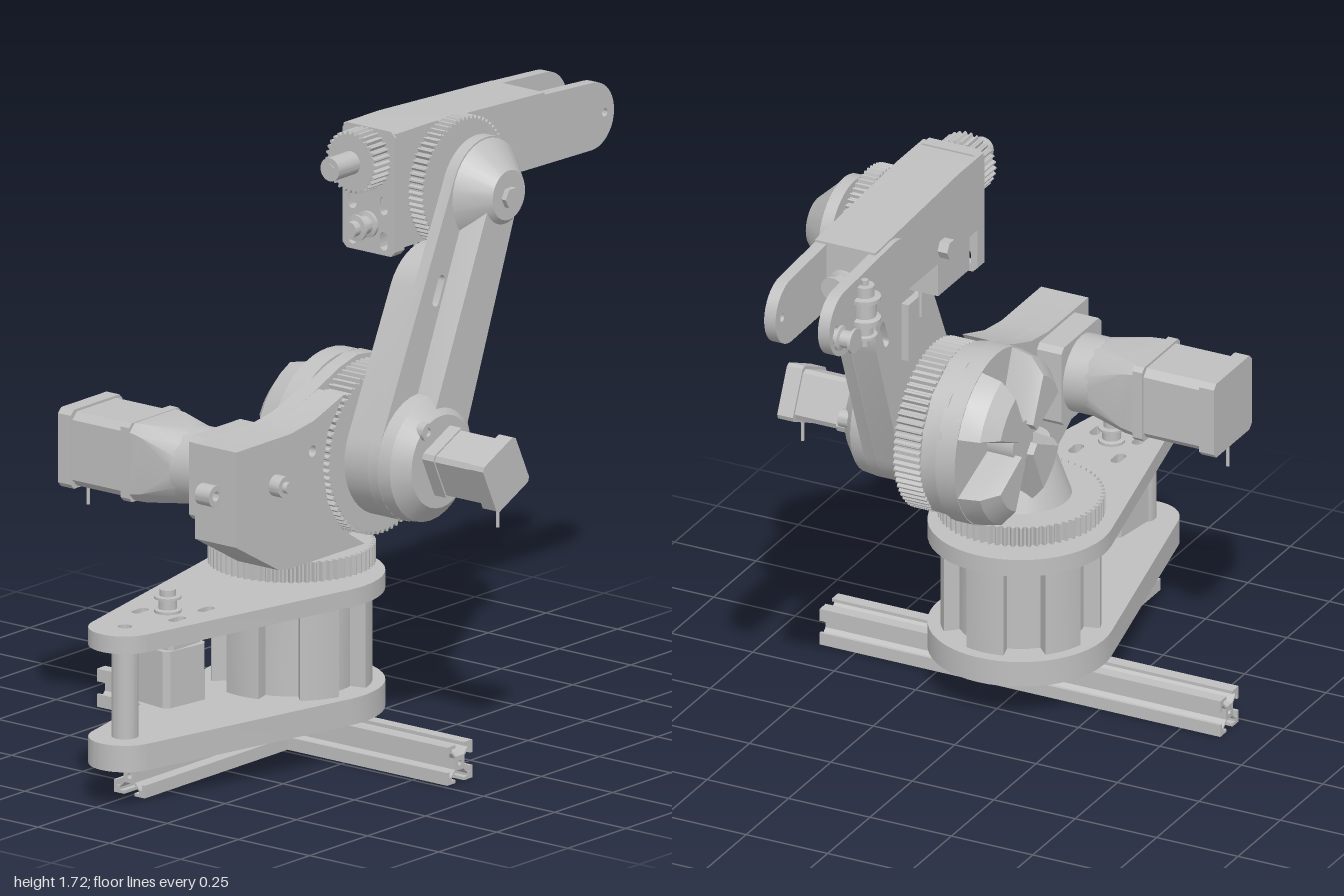
import * as THREE from 'three';
import { toCreasedNormals } from 'three/addons/utils/BufferGeometryUtils.js';
import { ConvexGeometry } from 'three/addons/geometries/ConvexGeometry.js';

export function createModel() {
  const root = new THREE.Group();
  const grey = new THREE.MeshStandardMaterial({ color: 0xbfbfbf });
  grey.name = 'light grey';
  const V2 = (x, y) => new THREE.Vector2(x, y);

  function add(name, geo) {
    const mesh = new THREE.Mesh(toCreasedNormals(geo, 0.5), grey);
    mesh.name = name;
    root.add(mesh);
    return mesh;
  }
  function box(name, x0, x1, y0, y1, z0, z1) {
    const g = new THREE.BoxGeometry(x1 - x0, y1 - y0, z1 - z0);
    return add(name, g.translate((x0 + x1) / 2, (y0 + y1) / 2, (z0 + z1) / 2));
  }
  // Turns a y-axis geometry onto the given axis, then places it
  function orient(g, axis, x, y, z) {
    if (axis === 'x') g.rotateZ(-Math.PI / 2);
    if (axis === 'z') g.rotateX(Math.PI / 2);
    return g.translate(x, y, z);
  }
  function rod(name, axis, r, len, x, y, z, r2 = r, seg = 32) {
    return add(name, orient(new THREE.CylinderGeometry(r2, r, len, seg), axis, x, y, z));
  }
  // Flanged belt pulley with a bore hub
  function pulley(name, axis, r, len, x, y, z) {
    const p = [[0, 0], [1, 0], [1, .12], [.7, .16], [.7, .55], [1, .6], [1, .7], [.6, .72], [.6, 1], [0, 1]];
    const g = new THREE.LatheGeometry(p.map(([a, b]) => V2(a * r, (b - .5) * len)), 24);
    return add(name, orient(g, axis, x, y, z));
  }
  // Outline around two circles
  function hull(c1, r1, c2, r2, n = 20) {
    const dx = c2[0] - c1[0], dy = c2[1] - c1[1];
    const phi = Math.atan2(dy, dx), al = Math.acos((r1 - r2) / Math.hypot(dx, dy));
    const pts = [];
    const arc = (c, r, a, b) => {
      for (let i = 0; i <= n; i++) {
        const t = a + (b - a) * i / n;
        pts.push(V2(c[0] + r * Math.cos(t), c[1] + r * Math.sin(t)));
      }
    };
    arc(c1, r1, phi + al, phi + 2 * Math.PI - al);
    arc(c2, r2, phi - al, phi + al);
    return pts;
  }
  const ring = (c, r, n = 32) => Array.from({ length: n }, (_, i) =>
    V2(c[0] + r * Math.cos(i / n * 2 * Math.PI), c[1] + r * Math.sin(i / n * 2 * Math.PI)));
  const toothed = (c, r, n, d) => Array.from({ length: n * 4 }, (_, i) => {
    const t = i / (n * 4) * 2 * Math.PI, q = i % 4 < 2 ? r : r - d;
    return V2(c[0] + q * Math.cos(t), c[1] + q * Math.sin(t));
  });
  const square = (c, h, k, a = 0) => [[h, -h + k], [h, h - k], [h - k, h], [k - h, h], [-h, h - k], [-h, k - h], [k - h, -h], [h - k, -h]]
    .map(([x, y]) => V2(x, y).rotateAround(V2(0, 0), a).add(V2(c[0], c[1])));
  const poly = list => list.map(([a, b]) => V2(a, b));
  function extrude(pts, depth, holes) {
    const s = new THREE.Shape(pts);
    s.holes = holes.map(h => new THREE.Path(h));
    return new THREE.ExtrudeGeometry(s, { depth, bevelEnabled: false });
  }
  // Profiles drawn in (z, y), pushed along x; and in (x, z), pushed along y
  const side = (name, pts, x0, x1, holes = []) =>
    add(name, extrude(pts, x1 - x0, holes).rotateY(-Math.PI / 2).translate(x1, 0, 0));
  const flat = (name, pts, y0, y1, holes = []) =>
    add(name, extrude(pts, y1 - y0, holes).rotateX(Math.PI / 2).translate(0, y1, 0));
  const front = (name, pts, z0, z1, holes = []) =>
    add(name, extrude(pts, z1 - z0, holes).translate(0, 0, z0));
  // Convex solid through (z, y) outlines at several x stations
  const loft = (name, ...stations) => add(name, new ConvexGeometry(
    stations.flatMap(([x, pts]) => pts.map(p => new THREE.Vector3(x, p.y, p.x)))));

  // Slotted rails under the base
  const rail = [];
  for (let k = 0; k < 4; k++)
    for (const [x, y] of [[.054, -.054], [.054, -.018], [.045, -.018], [.045, -.034], [.038, -.034], [.02, -.016],
      [.02, .016], [.038, .034], [.045, .034], [.045, .018], [.054, .018]])
      rail.push(V2(x, y).rotateAround(V2(0, 0), k * Math.PI / 2));
  const shifted = (x, y) => rail.map(p => V2(p.x + x, p.y + y));
  side('crossRail', shifted(.18, .055), -.62, .61, [ring([.18, .055], .008, 12)]);
  front('frontRail', shifted(-.005, .055), .235, .85, [ring([-.005, .055], .008, 12)]);

  // Base: two teardrop plates, a windowed drum and a front post
  const drop = hull([.02, .18], .255, [.02, .9], .1, 28);
  flat('baseBottomPlate', drop, .11, .185);
  const slots = [ring([.02, .9], .02, 12)];
  for (const x of [-.045, .085]) for (const z of [.63, .755])
    slots.push(hull([x, z - .015], .015, [x, z + .015], .0149, 6));
  flat('baseTopPlate', drop, .445, .495, slots);
  rod('drumCore', 'y', .175, .27, .02, .315, .18);
  for (let k = 0; k < 6; k++) {
    const a = (k + .5) * Math.PI / 3, pts = [];
    for (let i = 0; i <= 6; i++) pts.push([.22, a - .26 + i * .0867]);
    for (let i = 6; i >= 0; i--) pts.push([.17, a - .26 + i * .0867]);
    flat('drumPillar', pts.map(([r, t]) => V2(.02 + r * Math.cos(t), .18 + r * Math.sin(t))), .18, .45);
  }
  rod('frontPost', 'y', .037, .27, .02, .315, .9);
  flat('baseMotorBody', square([.02, .715], .078, .015, .14), .25, .41);
  flat('baseMotorFlange', square([.02, .715], .068, .012), .4, .447);
  pulley('baseMotorPulley', 'y', .037, .065, .02, .528, .715);

  // Turntable
  rod('turntableNeck', 'y', .06, .04, .02, .51, .18);
  flat('turntableGear', toothed([.02, .18], .23, 64, .012), .522, .578);
  rod('turretPedestal', 'y', .14, .17, .02, .66, .18, .08);

  // Turret: cheek plate, thick front housing, ribbed shoulder dish
  const cheek = [[.635, .96], [.635, .69], [.6, .67], [.45, .585], [.4, .578], [.05, .578], [-.08, .6], [-.18, .66],
    [-.235, .75], [-.25, .83], [-.235, .92], [-.18, 1.01], [-.08, 1.07], [0, 1.08], [.08, 1.06], [.2, 1.01], [.3, .975], [.4, .96]];
  side('turretCheek', poly(cheek), .05, .105, [ring([.305, .89], .016, 16)]);
  const housing = [[.635, .96], [.635, .69], [.6, .67], [.45, .585], [.4, .578], [.08, .578], [.18, .64],
    [.24, .73], [.26, .83], [.24, .93], [.17, 1.02], [.3, .975], [.4, .96]];
  side('turretHousing', poly(housing), .104, .195, [ring([.305, .89], .016, 16)]);
  side('housingEar', ring([.655, .83], .03, 20), .09, .14, [ring([.655, .83], .014, 14)]);
  rod('gearboxShaft', 'x', .03, .06, .2, .83, .465, .03, 20);
  rod('gearboxShaftTip', 'x', .016, .09, .2, .83, .465, .016, 16);
  side('shoulderDish', ring([0, .83], .25, 48), 0, .06);
  const sector = (a, w, r) => poly([[.05, -w], [r, -w], [r, -w / 2], [r, 0], [r, w / 2], [r, w], [.05, w]]
    .map(([q, t]) => [q * Math.cos(a + t), .83 + q * Math.sin(a + t)]));
  for (let k = 0; k < 4; k++) {
    const a = (k + .5) * Math.PI / 2;
    loft('dishLobe', [.01, sector(a, .42, .25)], [-.06, sector(a, .4, .235)], [-.1, sector(a, .34, .19)]);
  }
  rod('dishHub', 'x', .06, .1, -.03, .83, 0);

  // Shoulder drive motor and gearbox
  const m = [.45, .833];
  side('gearboxMount', square(m, .118, .015), -.025, .055);
  loft('gearboxTaper', [-.25, square(m, .11, .02)], [-.2, square(m, .11, .03)], [-.08, ring(m, .108, 16)]);
  side('gearbox', ring(m, .11, 24), -.1, -.02);
  side('driveMotorFlange', square(m, .112, .012), -.27, -.24);
  side('driveMotorBody', square(m, .105, .02), -.45, -.26);
  side('driveMotorCap', square(m, .112, .014), -.49, -.445);
  rod('driveMotorWire', 'y', .005, .08, -.475, .69, .45, .005, 8);

  // Upper arm with slotted plate and raised spine
  const S = [0, .83], E = [-.29, 1.52];
  side('shoulderPulley', toothed(S, .24, 72, .01), .115, .195);
  rod('shoulderAxle', 'x', .06, .2, .15, .83, 0);
  const slot = (z, y) => hull([z + .012, y - .028], .014, [z - .012, y + .028], .0139, 8);
  const armSlots = () => [slot(-.085, 1.28), slot(-.27, 1.21)];
  side('armPlate', hull(S, .18, E, .15), .285, .32, armSlots());
  side('armInnerBlock', hull(S, .18, [-.165, 1.225], .16), .205, .286, armSlots());
  box('beltTensioner', .183, .206, 1.09, 1.26, -.17, -.09);
  loft('armSpine', [.318, hull(S, .075, E, .07)], [.385, hull(S, .065, E, .055)]);
  loft('elbowBoss', [.315, ring(E, .15)], [.4, ring(E, .07)]);
  loft('shoulderBoss', [.315, ring(S, .18)], [.36, ring(S, .175)], [.4, ring(S, .13)]);
  rod('elbowBolt', 'x', .03, .02, .405, 1.515, -.288, .03, 6);

  // Tilted elbow motor on the shoulder
  const T = -.44;
  side('elbowMotorFlange', square([-.01, .83], .075, .012, T), .39, .44);
  side('elbowMotorBody', square([-.01, .83], .07, .012, T), .43, .575);
  side('elbowMotorCap', square([-.01, .83], .078, .01, T), .57, .618);
  rod('elbowMotorWire', 'y', .005, .07, .597, .715, 0, .005, 8);
  for (const [z, y] of [[.07, .93], [-.13, .85]])
    side('motorTab', ring([z, y], .025, 18), .38, .41, [ring([z, y], .012, 12)]);

  // Elbow pulley
  side('elbowPulley', toothed([-.285, 1.53], .185, 64, .009), .2, .248);
  rod('elbowAxle', 'x', .025, .1, .25, 1.52, -.288);

  // Forearm body, front plate and fork
  side('forearmBody', poly([[-.05, 1.71], [-.05, 1.49], [-.48, 1.49], [-.69, 1.48], [-.69, 1.685], [-.2, 1.71]]), .015, .2);
  const plate = poly([[.015, 1.375], [.03, 1.36], [.185, 1.36], [.2, 1.375], [.2, 1.7], [.185, 1.715], [.03, 1.715], [.015, 1.7]]);
  const plateSlots = [];
  for (const x of [.05, .16]) for (const y of [1.4, 1.5])
    plateSlots.push(hull([x, y - .012], .014, [x, y + .012], .0139, 6));
  front('forearmFrontPlate', plate, -.085, -.045, plateSlots);
  for (const x of [0, .165])
    side('forkProng', hull([-.6, 1.583], .101, [-.895, 1.57], .095), x, x + .035, [ring([-.95, 1.57], .012, 12)]);
  box('rollMotor', .035, .175, 1.37, 1.495, -.28, -.095);
  rod('rollMotorWire', 'y', .005, .1, .105, 1.33, -.25, .005, 8);
  front('rollGear', toothed([.105, 1.63], .088, 30, .009), -.035, .03);
  rod('rollShaft', 'z', .033, .1, .105, 1.63, .07, .033, 24);
  rod('rollShaftTip', 'z', .018, .12, .105, 1.63, .063, .018, 6);
  pulley('rollMotorPulley', 'z', .037, .08, .105, 1.44, -.005);

  // Wrist pulleys
  pulley('wristStack', 'y', .045, .11, -.01, 1.59, -.8);
  pulley('wristStackLower', 'y', .035, .06, -.01, 1.52, -.8);
  rod('wristPin', 'y', .01, .2, -.01, 1.56, -.8, .01, 12);
  pulley('wristSidePulley', 'x', .035, .07, -.025, 1.55, -.95);
  pulley('forkPulley', 'z', .035, .08, .105, 1.59, -.73);
  rod('forearmBolt', 'x', .028, .03, 0, 1.53, -.295, .028, 6);
  return root;
}
